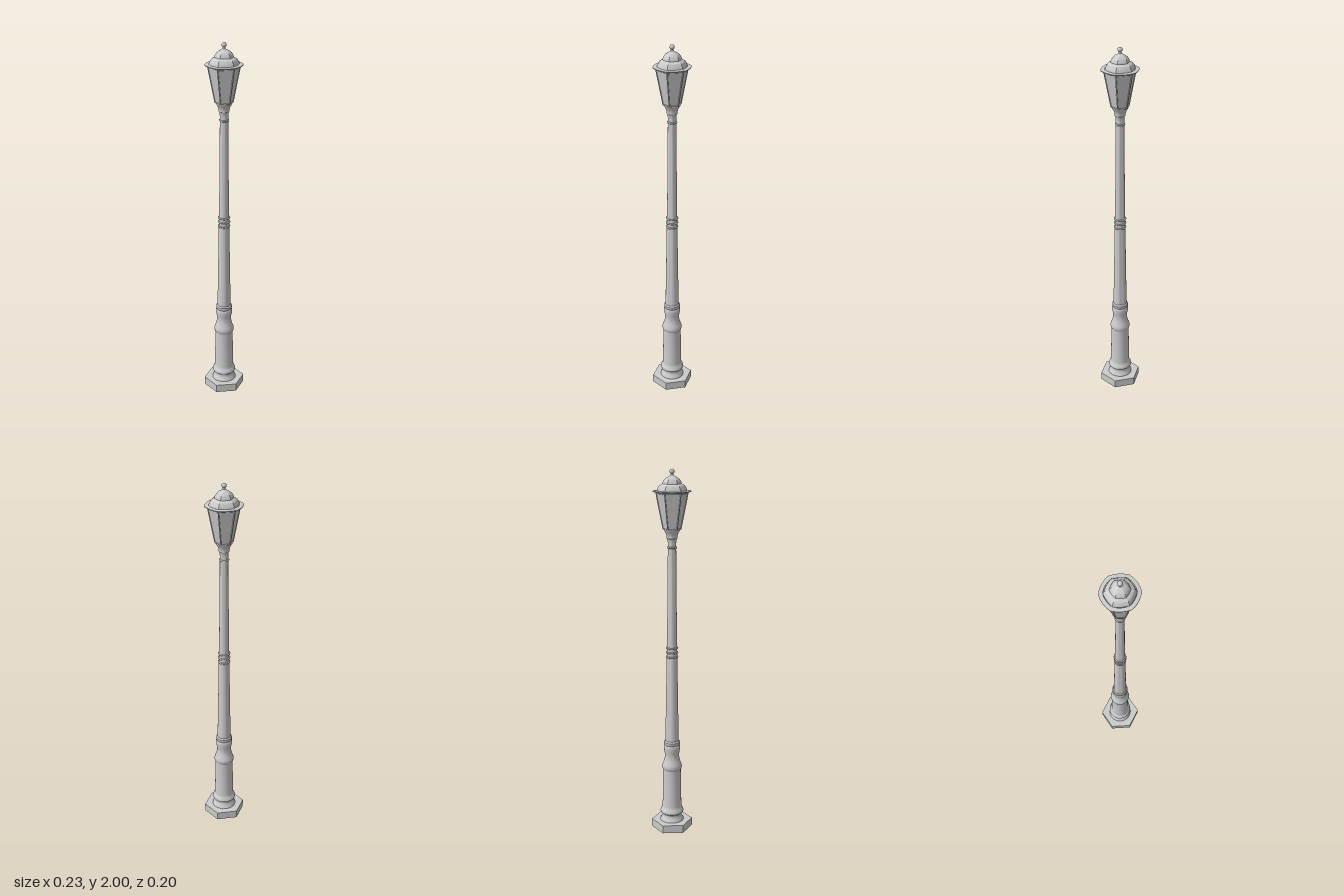
import * as THREE from 'three';
import { toCreasedNormals } from 'three/addons/utils/BufferGeometryUtils.js';

const material = new THREE.MeshStandardMaterial({ color: 0xcccccc, side: THREE.DoubleSide });

// Profile of [radius, height] pairs turned about y; first corner lies on +x
function turned(name, points, sides = 24, crease = 0.6) {
  const profile = points.map(([r, y]) => new THREE.Vector2(r, y));
  const geometry = new THREE.LatheGeometry(profile, sides, Math.PI / 2);
  const mesh = new THREE.Mesh(toCreasedNormals(geometry, crease), material);
  mesh.name = name;
  return mesh;
}

// Pulls a round turned shape part of the way towards a hexagon
function hexRounded(mesh, amount) {
  const p = mesh.geometry.attributes.position;
  const sector = Math.PI / 3;
  for (let i = 0; i < p.count; i++) {
    const a = Math.atan2(p.getZ(i), p.getX(i)) + Math.PI * 2;
    const off = (a % sector) - sector / 2;
    const k = 1 - amount + amount * Math.cos(sector / 2) / Math.cos(off);
    p.setX(i, p.getX(i) * k);
    p.setZ(i, p.getZ(i) * k);
  }
  mesh.geometry = toCreasedNormals(mesh.geometry, 0.35);
  return mesh;
}

// Straight bar between two points
function bar(name, a, b, radius) {
  const dir = b.clone().sub(a);
  const mesh = new THREE.Mesh(new THREE.CylinderGeometry(radius, radius, dir.length(), 6), material);
  mesh.position.copy(a).add(b).multiplyScalar(0.5);
  mesh.quaternion.setFromUnitVectors(new THREE.Vector3(0, 1, 0), dir.normalize());
  mesh.name = name;
  return mesh;
}

export function createModel() {
  const model = new THREE.Group();
  model.name = 'streetLamp';

  // Hexagonal plinth, hollow underneath
  model.add(turned('plinth', [[0.113, 0], [0.113, 0.045], [0.05, 0.045]], 6, 0.1));

  // Moulded foot and lower column
  model.add(turned('foot', [
    [0.066, 0.045], [0.064, 0.052], [0.055, 0.064], [0.052, 0.078], [0.054, 0.084],
    [0.062, 0.09], [0.065, 0.1], [0.062, 0.11], [0.055, 0.118], [0.053, 0.135],
    [0.049, 0.348], [0.053, 0.354], [0.055, 0.366], [0.053, 0.378], [0.048, 0.39],
    [0.042, 0.41], [0.039, 0.43], [0.041, 0.45], [0.045, 0.47], [0.045, 0.488],
    [0.041, 0.494], [0.044, 0.5], [0.044, 0.512], [0.038, 0.52],
  ]));

  // Tapering shaft
  model.add(turned('shaft', [[0.037, 0.515], [0.029, 0.99], [0.027, 1.06], [0.022, 1.6], [0.022, 1.64]]));

  // Rings round the middle and the top of the shaft
  const rings = [[1.0, 0.029], [1.025, 0.029], [1.05, 0.029], [1.595, 0.022]];
  for (const [y, r] of rings) {
    const ring = new THREE.Mesh(new THREE.TorusGeometry(r, 0.005, 8, 24), material);
    ring.rotation.x = Math.PI / 2;
    ring.position.y = y;
    ring.name = 'shaftRing';
    model.add(ring);
  }

  // Cup that carries the lantern
  model.add(turned('lanternCup', [
    [0.022, 1.62], [0.024, 1.638], [0.028, 1.643], [0.028, 1.652], [0.031, 1.664], [0.039, 1.68],
    [0.043, 1.686], [0.043, 1.692], [0, 1.692],
  ]));

  // Six-sided lantern: panes, corner bars and rims
  const lantern = new THREE.Group();
  lantern.name = 'lantern';
  lantern.add(turned('panes', [[0.046, 1.69], [0.083, 1.88]], 6, 0.1));
  const corner = (i, r, y) => {
    const a = i * Math.PI / 3;
    return new THREE.Vector3(r * Math.cos(a), y, r * Math.sin(a));
  };
  for (let i = 0; i < 6; i++) {
    lantern.add(bar('cornerBar', corner(i, 0.046, 1.69), corner(i, 0.083, 1.88), 0.0035));
    lantern.add(bar('lowerRim', corner(i, 0.046, 1.692), corner(i + 1, 0.046, 1.692), 0.0035));
    lantern.add(bar('upperRim', corner(i, 0.083, 1.877), corner(i + 1, 0.083, 1.877), 0.0035));
  }
  model.add(lantern);

  // Thin brim and domed roof
  const brim = [[0, 1.88], [0.085, 1.88], [0.1, 1.884], [0.1, 1.888], [0.079, 1.89]];
  model.add(hexRounded(turned('brim', brim), 0.35));
  model.add(hexRounded(turned('roof', [
    [0.079, 1.888], [0.077, 1.896], [0.073, 1.906], [0.066, 1.916], [0.056, 1.922],
    [0.05, 1.925], [0.047, 1.936], [0.039, 1.948], [0.028, 1.957], [0.014, 1.963], [0, 1.964],
  ]), 0.6));

  // Finial
  model.add(turned('finialStem', [[0.022, 1.958], [0.014, 1.964], [0.008, 1.968], [0.007, 1.98]], 16));
  const ball = new THREE.Mesh(new THREE.SphereGeometry(0.013, 16, 12), material);
  ball.position.y = 1.987;
  ball.name = 'finialBall';
  model.add(ball);

  return model;
}
